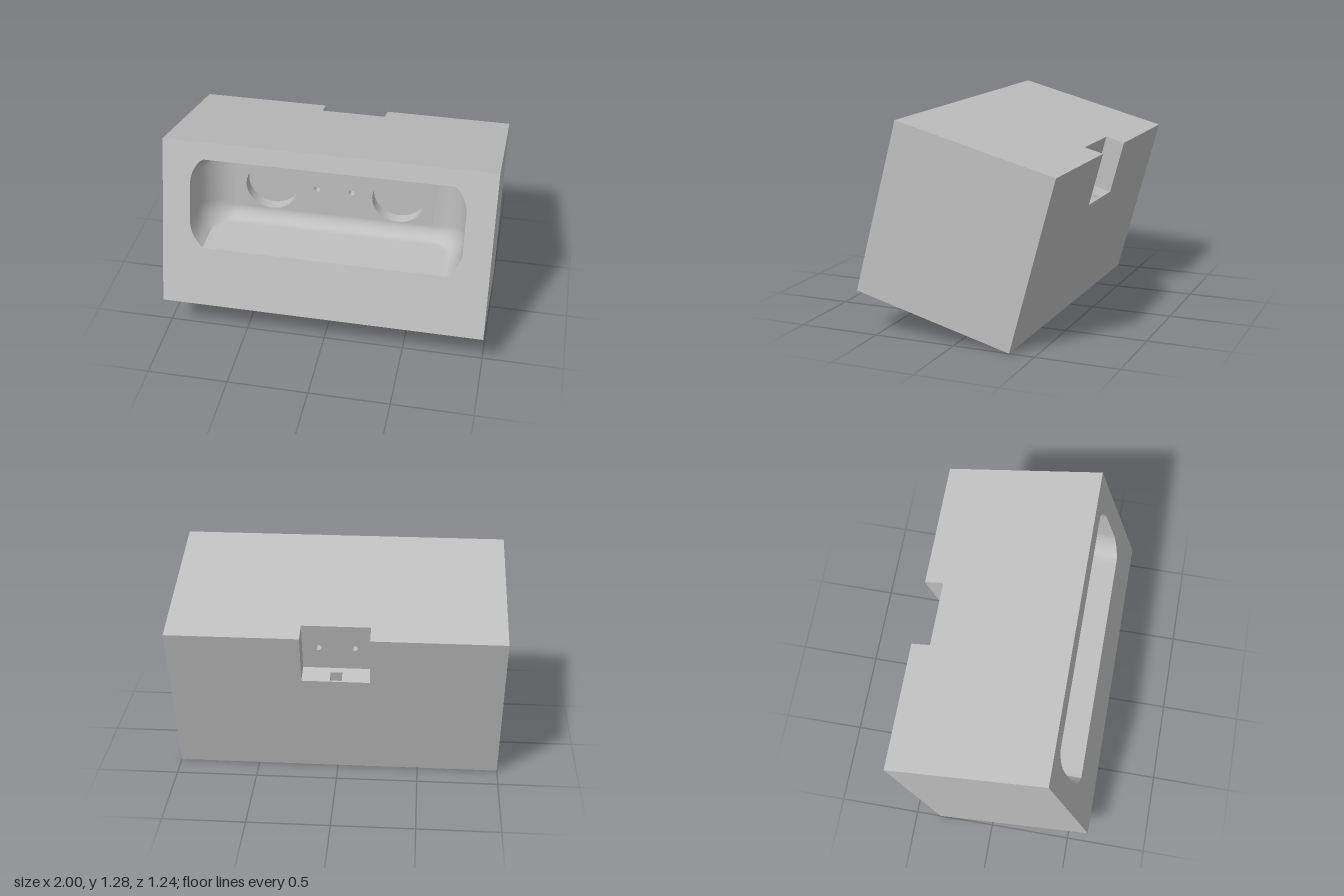
import * as THREE from 'three';
import { toCreasedNormals } from 'three/addons/utils/BufferGeometryUtils.js';

const TILT = Math.PI / 12, S = Math.sin(TILT), C = Math.cos(TILT);
const HALF_H = 0.53, HALF_D = 0.5, CENTRE_Y = 0.6425;
const NOTCH_X = 0.205, NOTCH_D = 0.12, NOTCH_H = 0.33;
const BACK_Z = 0.15, FILLET = 0.21, ARC = 12;

const grey = new THREE.MeshStandardMaterial({ color: 0xc0c0c0, side: THREE.DoubleSide });
grey.name = 'grey';

const vec = (pts) => pts.map(([x, y]) => new THREE.Vector2(x, y));
const rect = (x0, x1, y0, y1) => [[x0, y0], [x1, y0], [x1, y1], [x0, y1]];
const circle = (x, y, r, n = 48) => Array.from({ length: n }, (_, i) => {
  const a = (i / n) * Math.PI * 2;
  return [x + r * Math.cos(a), y + r * Math.sin(a)];
});
// Rectangle with a notch in the middle of its upper edge
const notched = (h, d) => [[-1, -h], [1, -h], [1, h], [NOTCH_X, h], [NOTCH_X, h - d],
  [-NOTCH_X, h - d], [-NOTCH_X, h], [-1, h]];

function add(parent, name, geo, pos = [0, 0, 0], rot = [0, 0, 0]) {
  const mesh = new THREE.Mesh(geo, grey);
  mesh.name = name;
  mesh.position.set(...pos);
  mesh.rotation.set(...rot);
  parent.add(mesh);
  return mesh;
}

function flat(outline, holes = []) {
  const shape = new THREE.Shape(vec(outline));
  holes.forEach((h) => shape.holes.push(new THREE.Path(vec(h))));
  return new THREE.ShapeGeometry(shape);
}

// Cavity section: rounded rectangle cut off by a flat floor and ceiling
function section(r) {
  const k = r / FILLET, pts = [];
  const low = THREE.MathUtils.lerp(0.71, 0.80, k), high = THREE.MathUtils.lerp(1.06, 1.02, k);
  [[1, high], [-1, high], [-1, low], [1, low]].forEach(([side, y], q) => {
    for (let i = 0; i <= ARC; i++) {
      const a = (q + i / ARC) * Math.PI / 2;
      pts.push([side * 0.62 + r * Math.cos(a),
        THREE.MathUtils.clamp(y + r * Math.sin(a), 0.63, 1.18)]);
    }
  });
  return pts;
}

// Depth of the tilted front plane at a given height
const frontZ = (y) => (HALF_D - (y - CENTRE_Y) * S) / C;

function cavityGeometry() {
  const rings = [];
  for (let i = 0; i <= ARC; i++) {
    const a = (i / ARC) * Math.PI / 2;
    const z = BACK_Z + FILLET * (1 - Math.cos(a));
    rings.push(section(FILLET * Math.sin(a)).map(([x, y]) => [x, y, z]));
  }
  rings.push(section(FILLET).map(([x, y]) => [x, y, frontZ(y)]));
  const n = rings[0].length, index = [];
  for (let r = 0; r < rings.length - 1; r++) {
    for (let i = 0; i < n; i++) {
      const a = r * n + i, b = r * n + (i + 1) % n;
      index.push(a, a + n, b, b, a + n, b + n);
    }
  }
  const geo = new THREE.BufferGeometry();
  geo.setAttribute('position', new THREE.Float32BufferAttribute(rings.flat(2), 3));
  geo.setIndex(index);
  return toCreasedNormals(geo, 0.45);
}

export function createModel() {
  const model = new THREE.Group();
  model.name = 'tiltedHousing';

  // Block leaning back
  const block = new THREE.Group();
  block.name = 'block';
  block.position.y = CENTRE_Y;
  block.rotation.x = -TILT;
  model.add(block);

  const rim = section(FILLET).map(([x, y]) => [x, (y - CENTRE_Y) * C - frontZ(y) * S]);
  add(block, 'frontFace', flat(rect(-1, 1, -HALF_H, HALF_H), [rim]), [0, 0, HALF_D]);
  add(block, 'backFace', flat(notched(HALF_H, NOTCH_H)), [0, 0, -HALF_D], [0, Math.PI, 0]);
  add(block, 'topFace', flat(notched(HALF_D, NOTCH_D)), [0, HALF_H, 0], [-Math.PI / 2, 0, 0]);
  add(block, 'bottomFace', new THREE.PlaneGeometry(2, 2 * HALF_D), [0, -HALF_H, 0], [Math.PI / 2, 0, 0]);
  for (const s of [1, -1]) {
    add(block, s > 0 ? 'leftFace' : 'rightFace', new THREE.PlaneGeometry(2 * HALF_D, 2 * HALF_H),
      [s, 0, 0], [0, s * Math.PI / 2, 0]);
  }

  // Rear notch
  const wallZ = -HALF_D + NOTCH_D, floorY = HALF_H - NOTCH_H;
  const holeX = 0.108, holeY = 0.895, holeR = 0.018;
  const holeEnd = (wallZ - (holeY - CENTRE_Y) * S) / C;
  const holeU = (holeY - CENTRE_Y) * C - holeEnd * S;
  add(block, 'notchWall', flat(rect(-NOTCH_X, NOTCH_X, floorY, HALF_H),
    [circle(holeX, holeU, holeR, 20), circle(-holeX, holeU, holeR, 20)]), [0, 0, wallZ], [0, Math.PI, 0]);
  add(block, 'notchFloor', flat(rect(-NOTCH_X, NOTCH_X, -0.06, 0.06), [rect(-0.035, 0.035, -0.02, 0.05)]),
    [0, floorY, wallZ - 0.06], [-Math.PI / 2, 0, 0]);
  for (const s of [1, -1]) {
    add(block, 'notchSide', new THREE.PlaneGeometry(NOTCH_D, NOTCH_H),
      [s * NOTCH_X, HALF_H - NOTCH_H / 2, wallZ - NOTCH_D / 2], [0, -s * Math.PI / 2, 0]);
  }

  // Cable slot in the notch floor
  const slot = new THREE.CylinderGeometry(Math.SQRT1_2, Math.SQRT1_2, 1, 4, 1, true).rotateY(Math.PI / 4);
  slot.scale(0.07, 0.15, 0.07);
  const slotZ = wallZ - 0.075;
  add(block, 'slotWalls', toCreasedNormals(slot, 0.3), [0, floorY - 0.075, slotZ]);
  add(block, 'slotFloor', new THREE.PlaneGeometry(0.07, 0.07), [0, floorY - 0.15, slotZ], [-Math.PI / 2, 0, 0]);

  // Front cavity, cut level with the ground
  add(model, 'cavity', cavityGeometry());
  const discX = 0.395, discY = 0.877, discR = 0.16, discDepth = 0.07;
  const holes = [1, -1].flatMap((s) => [circle(s * discX, discY, discR), circle(s * holeX, holeY, holeR, 20)]);
  add(model, 'cavityBack', flat(rect(-0.62, 0.62, 0.71, 1.06), holes), [0, 0, BACK_Z]);

  // Round recesses and through holes
  const holeLength = BACK_Z - holeEnd;
  for (const s of [1, -1]) {
    add(model, 'recessWall', new THREE.CylinderGeometry(discR, discR, discDepth, 48, 1, true),
      [s * discX, discY, BACK_Z - discDepth / 2], [Math.PI / 2, 0, 0]);
    add(model, 'recessFloor', new THREE.CircleGeometry(discR, 48), [s * discX, discY, BACK_Z - discDepth]);
    add(model, 'throughHole', new THREE.CylinderGeometry(holeR, holeR, holeLength, 20, 1, true),
      [s * holeX, holeY, BACK_Z - holeLength / 2], [Math.PI / 2, 0, 0]);
  }
  return model;
}
